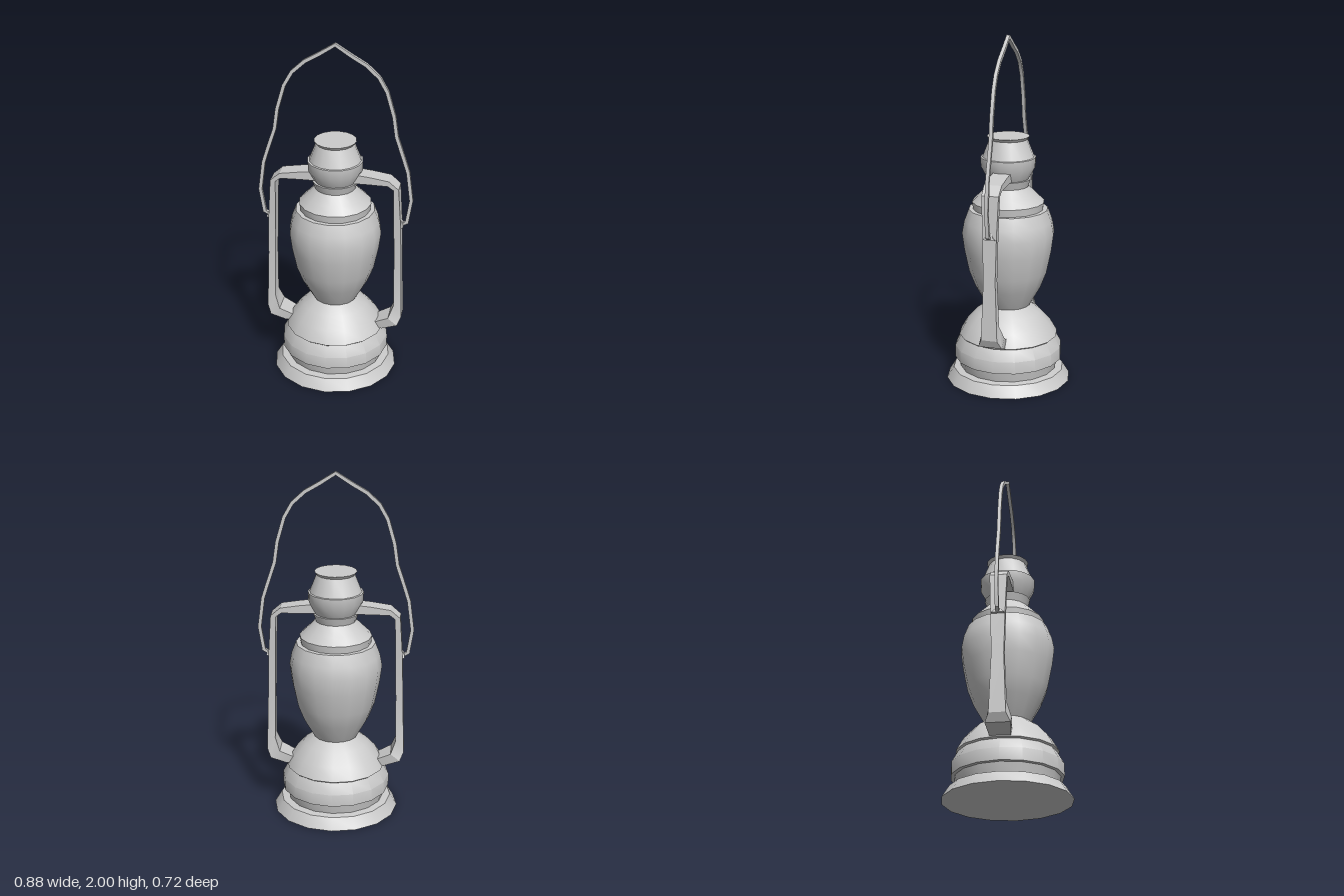
import * as THREE from 'three';
import { toCreasedNormals } from 'three/addons/utils/BufferGeometryUtils.js';

const material = new THREE.MeshStandardMaterial({ color: 0xcccccc });

function addMesh(parent, name, geometry, crease = 0.6) {
  const mesh = new THREE.Mesh(toCreasedNormals(geometry, crease), material);
  mesh.name = name;
  parent.add(mesh);
  return mesh;
}

// Sixteen-sided turned part; profile runs from bottom to top
function turned(profile) {
  return new THREE.LatheGeometry(profile.map(([r, y]) => new THREE.Vector2(r, y)), 16);
}

// Four-cornered bar through rows of [outerX, outerY, innerX, innerY, halfDepth]
function bar(rows) {
  const positions = [];
  const index = [];
  for (const [ox, oy, ix, iy, h] of rows) {
    positions.push(ox, oy, h, ox, oy, -h, ix, iy, -h, ix, iy, h);
  }
  for (let i = 0; i < rows.length - 1; i++) {
    for (let k = 0; k < 4; k++) {
      const a = i * 4 + k;
      const b = i * 4 + (k + 1) % 4;
      index.push(a, a + 4, b, b, a + 4, b + 4);
    }
  }
  const e = (rows.length - 1) * 4;
  index.push(0, 1, 2, 0, 2, 3, e, e + 2, e + 1, e, e + 3, e + 2);
  const geometry = new THREE.BufferGeometry();
  geometry.setAttribute('position', new THREE.Float32BufferAttribute(positions, 3));
  geometry.setIndex(index);
  return geometry;
}

// Turns a path in the xy plane into bar rows of constant thickness
function wireRows(path, radius) {
  return path.map(([x, y], i) => {
    const [px, py] = path[Math.max(i - 1, 0)];
    const [qx, qy] = path[Math.min(i + 1, path.length - 1)];
    const n = new THREE.Vector2(py - qy, qx - px).normalize().multiplyScalar(radius);
    return [x + n.x, y + n.y, x - n.x, y - n.y, radius];
  });
}

export function createModel() {
  const lantern = new THREE.Group();
  lantern.name = 'lantern';

  // Foot, fuel tank and domed burner
  addMesh(lantern, 'base', turned([
    [0, 0], [0.36, 0], [0.32, 0.065], [0.278, 0.07], [0.29, 0.128],
    [0.31, 0.13], [0.31, 0.2], [0.275, 0.262], [0.285, 0.27],
    [0.245, 0.34], [0.185, 0.405], [0.125, 0.447], [0, 0.447],
  ]));

  // Glass globe
  addMesh(lantern, 'globe', turned([
    [0, 0.445], [0.125, 0.445], [0.19, 0.56], [0.225, 0.65], [0.252, 0.78],
    [0.265, 0.88], [0.252, 0.95], [0.226, 1.018], [0.19, 1.018], [0, 1.018],
  ]));

  // Hood and chimney
  addMesh(lantern, 'chimney', turned([
    [0, 1.015], [0.2, 1.015], [0.206, 1.06], [0.165, 1.1], [0.115, 1.15],
    [0.13, 1.195], [0.118, 1.195], [0.155, 1.265], [0.157, 1.318],
    [0.147, 1.32], [0.108, 1.42], [0.12, 1.437], [0, 1.437],
  ]));

  // Side frames, widening into a foot where they meet the tank
  const frame = bar([
    [0.1, 1.255, 0.1, 1.2, 0.05], [0.2, 1.245, 0.2, 1.2, 0.05],
    [0.31, 1.228, 0.305, 1.198, 0.05], [0.365, 1.18, 0.335, 1.175, 0.048],
    [0.38, 0.95, 0.341, 0.95, 0.04], [0.387, 0.7, 0.346, 0.7, 0.034],
    [0.397, 0.36, 0.35, 0.43, 0.046], [0.375, 0.312, 0.322, 0.355, 0.068],
    [0.285, 0.277, 0.25, 0.32, 0.058], [0.23, 0.277, 0.2, 0.32, 0.05],
  ]);
  // Small ear holding the end of the handle
  const ear = bar([
    [0.372, 0.985, 0.35, 0.96, 0.008], [0.39, 0.955, 0.36, 0.945, 0.022],
    [0.392, 0.94, 0.36, 0.932, 0.036],
  ]);
  for (const side of ['left', 'right']) {
    const group = new THREE.Group();
    group.name = side + 'Frame';
    addMesh(group, 'frameBar', frame, 0.45);
    addMesh(group, 'handleEar', ear, 0.45);
    if (side === 'right') group.rotation.y = Math.PI;
    lantern.add(group);
  }

  // Wire carrying handle, pointed at the top
  const half = [
    [0.365, 0.94], [0.41, 0.962], [0.432, 1.1], [0.41, 1.27], [0.385, 1.35],
    [0.342, 1.48], [0.325, 1.6], [0.285, 1.74], [0.24, 1.82],
    [0.17, 1.885], [0.09, 1.932],
  ];
  const path = [
    ...half.map(([x, y]) => [-x, y]), [0, 1.99], ...half.slice().reverse(),
  ];
  addMesh(lantern, 'handle', bar(wireRows(path, 0.01)), 0.45);

  return lantern;
}
